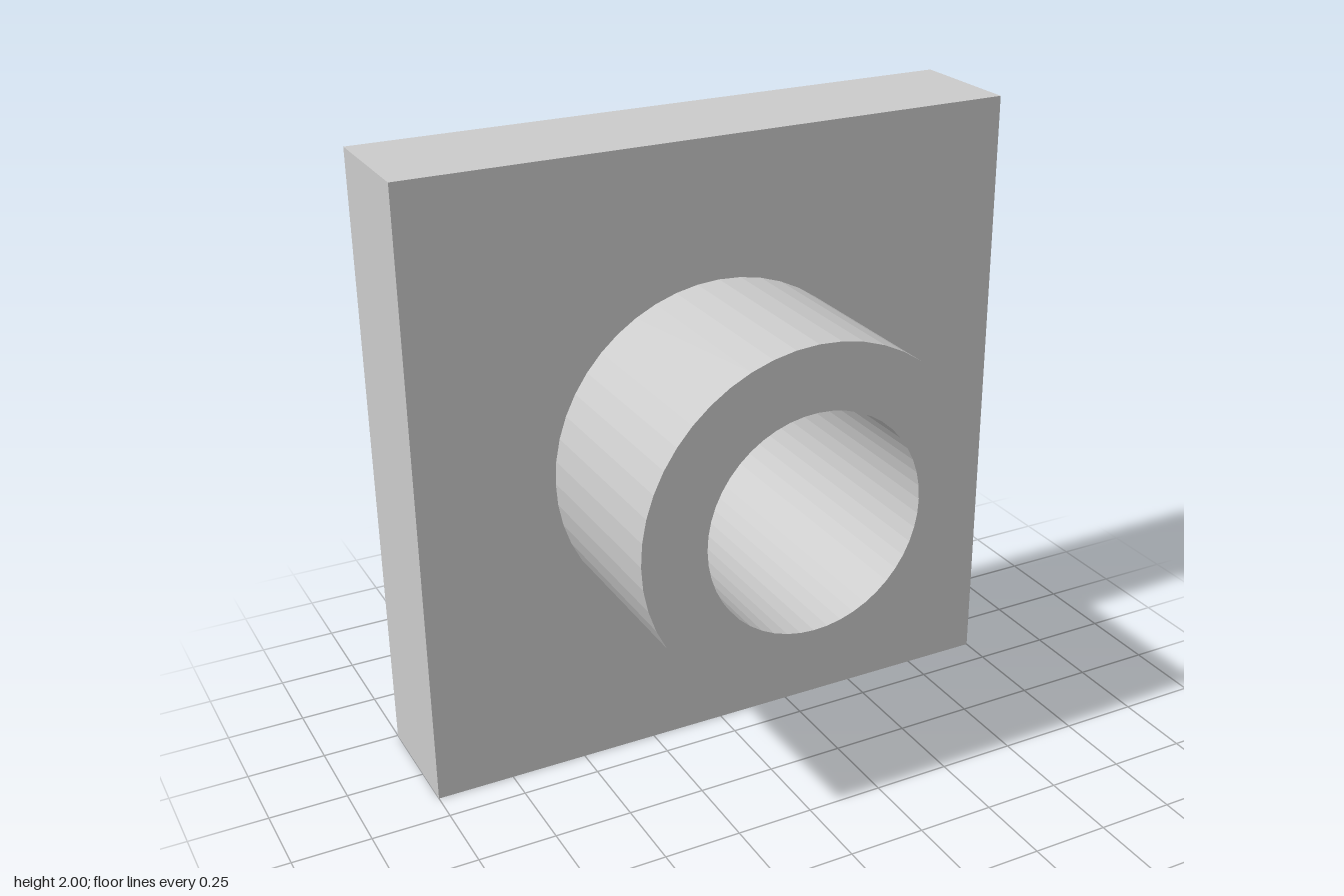
import * as THREE from 'three';

const BORE = 0.352, BOSS = 0.558;
const BACK = -0.5, STEP = -0.1, FRONT = 0.5;

// Extrude an outline with the round bore cut through it, from z0 to z1
function boredPart(name, shape, z0, z1, material) {
  shape.holes.push(new THREE.Path().absarc(0, 0, BORE, 0, Math.PI * 2, true));
  const geometry = new THREE.ExtrudeGeometry(shape, {
    depth: z1 - z0, bevelEnabled: false, curveSegments: 24, // 48 sides per circle
  });
  const mesh = new THREE.Mesh(geometry, material);
  mesh.name = name;
  mesh.position.set(0, 1, z0);
  return mesh;
}

export function createModel() {
  const group = new THREE.Group();
  group.name = 'flangedBushing';
  const material = new THREE.MeshStandardMaterial({ color: 0xcccccc, flatShading: true });

  // Square mounting plate
  const square = new THREE.Shape([
    new THREE.Vector2(-1, -1), new THREE.Vector2(1, -1),
    new THREE.Vector2(1, 1), new THREE.Vector2(-1, 1),
  ]);
  group.add(boredPart('plate', square, BACK, STEP, material));

  // Round collar on the front of the plate
  const circle = new THREE.Shape().absarc(0, 0, BOSS, 0, Math.PI * 2, false);
  group.add(boredPart('collar', circle, STEP, FRONT, material));

  return group;
}
